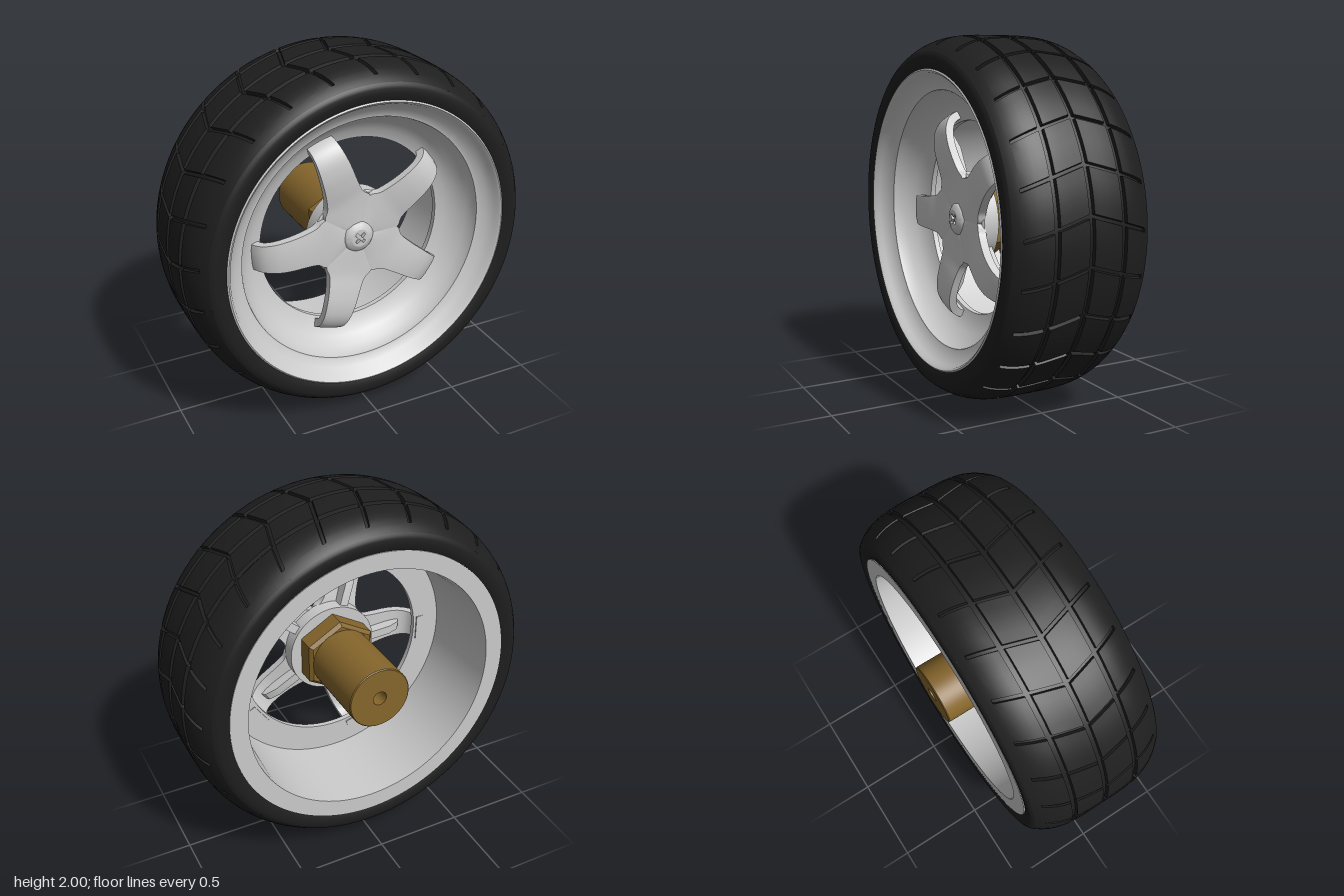
import * as THREE from 'three';
import { toCreasedNormals } from 'three/addons/utils/BufferGeometryUtils.js';

const metal = new THREE.MeshStandardMaterial({ color: 0xcccccc });
const rubber = new THREE.MeshStandardMaterial({ color: 0x1e1e1e });
const brass = new THREE.MeshStandardMaterial({ color: 0x86662c });

function part(name, geometry, material, crease = 0.5) {
  const mesh = new THREE.Mesh(toCreasedNormals(geometry, crease), material);
  mesh.name = name;
  return mesh;
}

// Profile of [radius, z] pairs turned about the axle
function turned(points, segments = 96) {
  const profile = points.map(([r, z]) => new THREE.Vector2(r, z));
  return new THREE.LatheGeometry(profile, segments).rotateX(Math.PI / 2);
}

// Surface over a (nu+1) x (nv+1) lattice of points
function lattice(nu, nv, point) {
  const position = [], index = [];
  for (let i = 0; i <= nu; i++) {
    for (let j = 0; j <= nv; j++) {
      position.push(...point(i, j));
      if (i === nu || j === nv) continue;
      const a = i * (nv + 1) + j, b = a + nv + 1;
      index.push(a, b, b + 1, a, b + 1, a + 1);
    }
  }
  const geometry = new THREE.BufferGeometry();
  geometry.setAttribute('position', new THREE.Float32BufferAttribute(position, 3));
  geometry.setIndex(index);
  return geometry;
}

// Tread: sheared lattice, so the chevron and ring grooves follow its lines
function tread() {
  const half = [0.012, 0.015, 0.06, 0.11, 0.15, 0.175, 0.178, 0.202, 0.205,
    0.24, 0.275, 0.31, 0.34, 0.344, 0.36, 0.375, 0.387];
  const rows = [...half.map(s => -s).reverse(), 0, ...half];
  const columns = [0, 0.012, 0.08, 0.092, 0.3, 0.53, 0.77];
  const pitches = 25, n = columns.length;
  return lattice(pitches * n, rows.length - 1, (i, j) => {
    const s = Math.abs(rows[j]), k = i % n;
    const ringGroove = s < 0.013 || (s > 0.177 && s < 0.203);
    const chevron = (k === 1 || k === 2) && s < 0.342;
    const radius = 1 - 0.1 * (s / 0.4) ** 4 - (ringGroove || chevron ? 0.02 : 0);
    const angle = 0.13 + (Math.floor(i / n) + columns[k]) * 2 * Math.PI / pitches - 0.3 * s;
    return [radius * Math.cos(angle), radius * Math.sin(angle), rows[j] + 0.03];
  });
}

// One fifth of the star: a shell that arches forward, then curls back to the rim
function spoke() {
  const path = new THREE.CatmullRomCurve3([
    [0.01, 0.25, 0.01], [0.194, 0.25, 0.141], [0.245, 0.255, 0.112], [0.33, 0.27, 0.097],
    [0.42, 0.279, 0.09], [0.5, 0.27, 0.083], [0.56, 0.237, 0.077], [0.592, 0.185, 0.074],
    [0.6, 0.13, 0.073],
  ].map(p => new THREE.Vector3(...p)));
  const steps = 40, thick = 0.045;
  const section = [[-1, 0], [-0.5, 0.005], [0.5, 0.005], [1, 0], [1, -thick], [-1, -thick], [-1, 0]];
  return lattice(steps, section.length - 1, (i, j) => {
    const p = path.getPoint(i / steps), d = path.getTangent(i / steps);
    const length = Math.hypot(d.x, d.y);
    const width = p.x < 0.195 ? p.x * Math.tan(Math.PI / 5) : p.z;
    const [side, lift] = section[j];
    return [p.x - d.y / length * lift, side * width, p.y + d.x / length * lift];
  });
}

function rib() {
  const shape = new THREE.Shape([[0.22, 0.23], [0.22, 0.15], [0.4, 0.17], [0.47, 0.2], [0.49, 0.24], [0.4, 0.25]]
    .map(p => new THREE.Vector2(...p)));
  return new THREE.ExtrudeGeometry(shape, { depth: 0.05, bevelEnabled: false })
    .translate(0, 0, -0.025).rotateX(Math.PI / 2);
}

// Disc pierced by a diagonal cross
function screwTop() {
  const disc = new THREE.Shape().absarc(0, 0, 0.05, 0, Math.PI * 2);
  const a = 0.009, b = 0.035, cross = [];
  for (let q = 0; q < 4; q++) {
    for (const [x, y] of [[b, -a], [b, a], [a, a]]) {
      cross.push(new THREE.Vector2(x, y).rotateAround(new THREE.Vector2(), Math.PI / 4 + q * Math.PI / 2));
    }
  }
  disc.holes.push(new THREE.Path(cross));
  return new THREE.ExtrudeGeometry(disc, { depth: 0.018, bevelEnabled: false, curveSegments: 24 })
    .translate(0, 0, 0.256);
}

export function createModel() {
  const model = new THREE.Group();
  model.name = 'wheel';
  const wheel = new THREE.Group();
  wheel.name = 'wheelAssembly';
  wheel.position.y = 1;
  model.add(wheel);

  // Tyre
  wheel.add(part('tyreTread', tread(), rubber));
  const wall = [[0.9124, 0.387], [0.9, 0.395], [0.885, 0.4], [0.86, 0.4], [0.835, 0.396], [0.81, 0.385]];
  wheel.add(part('frontSidewall', turned(wall.map(([r, s]) => [r, 0.03 + s]), 175), rubber, 0.9));
  wheel.add(part('backSidewall', turned(wall.map(([r, s]) => [r, 0.03 - s]).reverse(), 175), rubber, 0.9));

  // Rim: deep front dish, pierced web and open back barrel
  wheel.add(part('rim', turned([
    [0.72, -0.365], [0.82, -0.365], [0.82, 0.42], [0.812, 0.425], [0.8, 0.415], [0.79, 0.39],
    [0.755, 0.36], [0.72, 0.335], [0.708, 0.332], [0.704, 0.31], [0.68, 0.265], [0.64, 0.215],
    [0.59, 0.178], [0.54, 0.16], [0.54, 0.13], [0.7, 0.13], [0.72, -0.365],
  ], 128), metal));

  // Hub and five-armed star
  wheel.add(part('hub', turned([[0, 0.13], [0.26, 0.13], [0.26, 0.215], [0.25, 0.225], [0, 0.225]]), metal));
  const spokeShape = spoke(), ribShape = rib();
  for (let i = 0; i < 5; i++) {
    const arm = new THREE.Group();
    arm.name = 'arm' + (i + 1);
    arm.rotation.z = THREE.MathUtils.degToRad(181.5 + 72 * i);
    arm.add(part('spoke', spokeShape, metal), part('spokeRib', ribShape, metal));
    wheel.add(arm);
  }

  // Screw with cross recess
  wheel.add(part('screwDome', turned([[0.09, 0.24], [0.088, 0.252], [0.075, 0.264], [0.05, 0.274]], 48), metal, 0.9));
  wheel.add(part('screwTop', screwTop(), metal));
  wheel.add(part('screwFloor', new THREE.CircleGeometry(0.05, 32).translate(0, 0, 0.257), metal));

  // Hexagonal adapter with bored shaft
  const hex = (bottom, top, height, z) =>
    new THREE.CylinderGeometry(top, bottom, height, 6).rotateX(Math.PI / 2).translate(0, 0, z);
  wheel.add(part('hexChamfer', hex(0.203, 0.225, 0.02, 0.02), brass));
  wheel.add(part('hexNut', hex(0.225, 0.225, 0.1, 0.08), brass));
  wheel.add(part('shaft', turned([
    [0, -0.2], [0.04, -0.2], [0.04, -0.435], [0.173, -0.435], [0.178, -0.43], [0.178, 0.03],
  ], 64), brass));
  return model;
}
